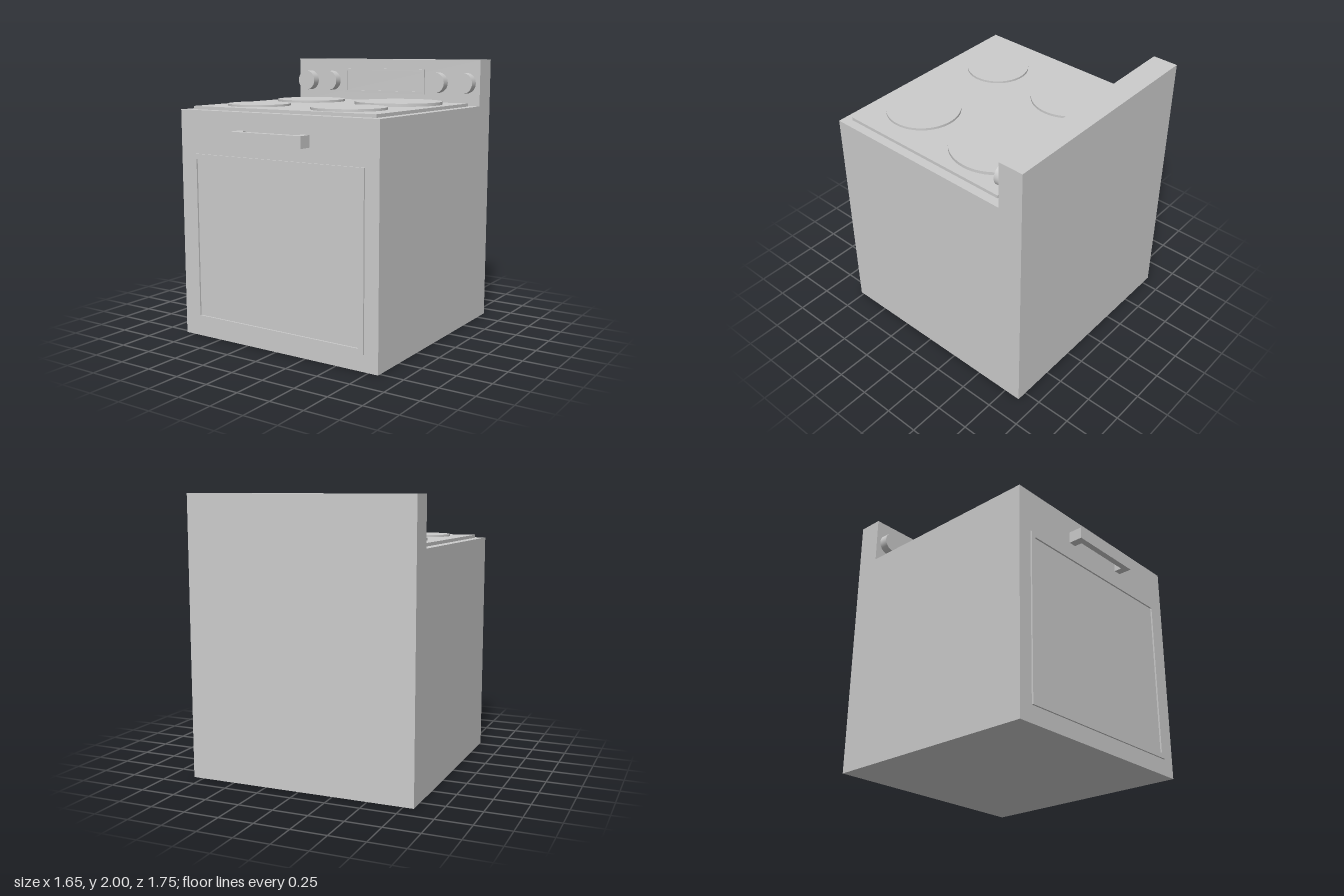
import * as THREE from 'three';

const material = new THREE.MeshStandardMaterial({ color: 0xcccccc });

function add(parent, name, geometry, x = 0, y = 0, z = 0) {
  const mesh = new THREE.Mesh(geometry, material);
  mesh.name = name;
  mesh.position.set(x, y, z);
  parent.add(mesh);
  return mesh;
}

const polygon = (points) => new THREE.Shape(points.map(([x, y]) => new THREE.Vector2(x, y)));
const extrude = (shape, depth) => new THREE.ExtrudeGeometry(shape, { depth, bevelEnabled: false });

// Flat rectangular frame with an open middle
function frameGeometry(width, height, border, depth) {
  const rect = (w, h) => [[-w, -h], [w, -h], [w, h], [-w, h]];
  const shape = polygon(rect(width / 2, height / 2));
  shape.holes.push(polygon(rect(width / 2 - border, height / 2 - border)));
  return extrude(shape, depth);
}

export function createModel() {
  const stove = new THREE.Group();
  stove.name = 'stove';

  // Body and raised back panel: one side profile (-z, y) extruded across the width
  const side = polygon([[-0.775, 0], [0.875, 0], [0.875, 2], [0.69, 2], [0.69, 1.655], [-0.775, 1.655]]);
  const body = extrude(side, 1.65);
  body.translate(0, 0, -0.825);
  body.rotateY(Math.PI / 2);
  add(stove, 'body', body);

  // Cooktop plate and burners: x, z, radius, top
  add(stove, 'cooktop', new THREE.BoxGeometry(1.52, 0.023, 1.335), 0, 1.6665, 0.0425);
  const burners = [
    [-0.415, -0.265, 0.263, 1.695],
    [0.363, -0.272, 0.323, 1.7],
    [-0.415, 0.393, 0.227, 1.693],
    [0.363, 0.405, 0.263, 1.695],
  ];
  for (const [x, z, r, top] of burners) {
    const h = top - 1.675;
    add(stove, 'burner', new THREE.CylinderGeometry(r, r, h, 64), x, top - h / 2, z);
  }

  // Control knobs
  const knob = new THREE.CylinderGeometry(0.078, 0.078, 0.07, 48);
  knob.rotateX(Math.PI / 2);
  for (const x of [-0.713, -0.495, 0.48, 0.713]) add(stove, 'knob', knob, x, 1.825, -0.657);

  // Display frame and oven window frame
  add(stove, 'displayFrame', frameGeometry(0.725, 0.195, 0.02, 0.012), -0.003, 1.8275, -0.69);
  add(stove, 'ovenDoorFrame', frameGeometry(1.435, 1.225, 0.037, 0.012), 0, 0.7325, 0.775);

  // Bracket-shaped door handle, drawn from above and extruded upward
  const bracket = polygon([
    [-0.295, 0], [-0.295, -0.1], [0.295, -0.1], [0.295, 0],
    [0.235, 0], [0.235, -0.057], [-0.235, -0.057], [-0.235, 0],
  ]);
  const handle = extrude(bracket, 0.083);
  handle.rotateX(-Math.PI / 2);
  add(stove, 'handle', handle, -0.002, 1.446, 0.775);

  return stove;
}
